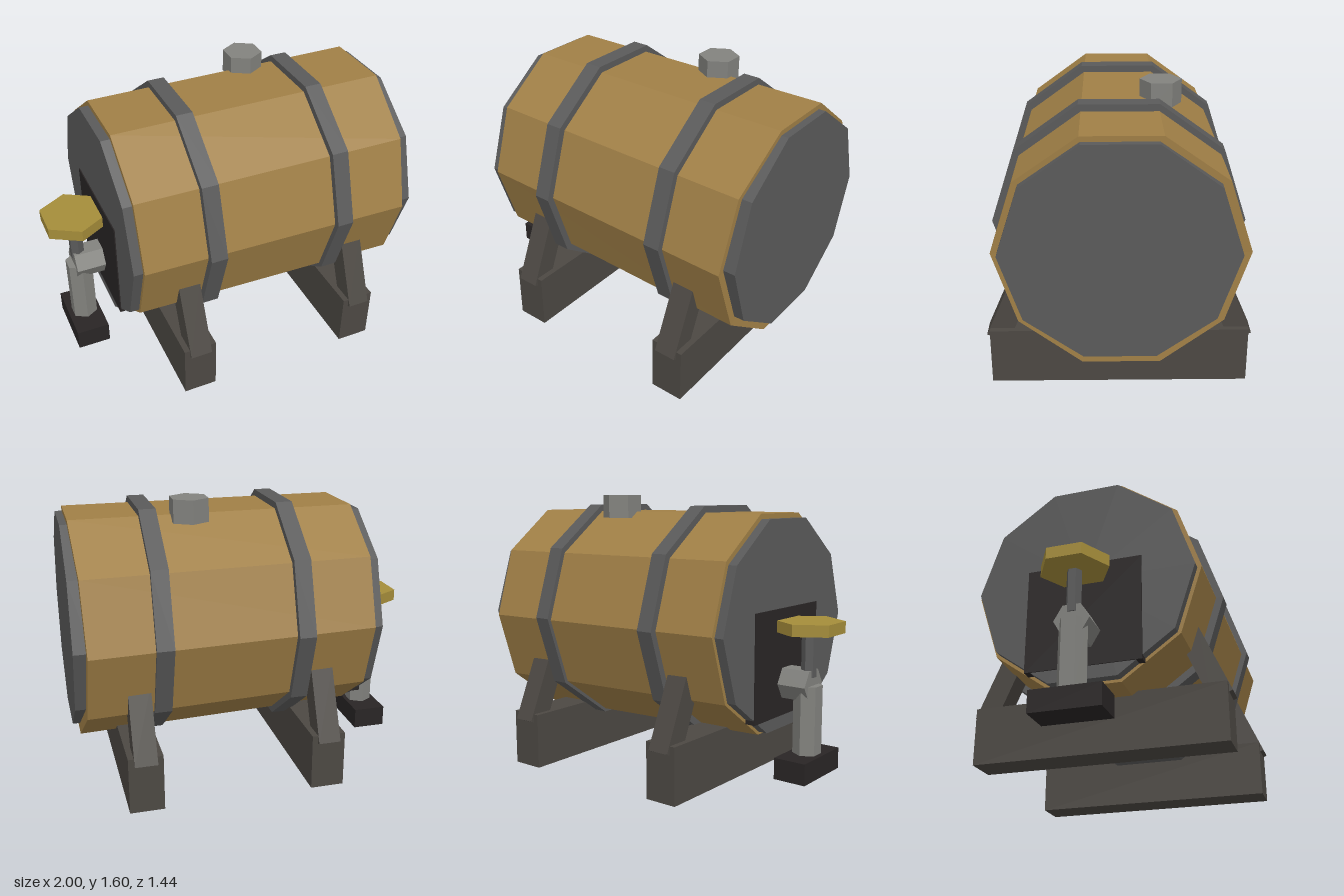
import * as THREE from 'three';

const mat = (color) => new THREE.MeshStandardMaterial({ color, flatShading: true });
const wood = mat(0xa07f46);
const iron = mat(0x5a5a5a);
const steel = mat(0x82827e);
const timber = mat(0x4c4843);
const brass = mat(0xa58d3a);
const black = mat(0x292525);
const AXIS_Y = 0.895;

export function createModel() {
  const model = new THREE.Group();

  const add = (name, geometry, material, x, y, z) => {
    const mesh = new THREE.Mesh(geometry, material);
    mesh.name = name;
    mesh.position.set(x, y, z);
    model.add(mesh);
    return mesh;
  };
  // Prism lying along x, from x0 to x1
  const lying = (name, r, sides, x0, x1, y, material) =>
    add(name, new THREE.CylinderGeometry(r, r, x1 - x0, sides).rotateZ(-Math.PI / 2),
      material, (x0 + x1) / 2, y, 0);
  // Prism standing upright, from y0 to y1
  const standing = (name, r, y0, y1, x, z, material) =>
    add(name, new THREE.CylinderGeometry(r, r, y1 - y0, 6), material, x, (y0 + y1) / 2, z);

  // Barrel body: ten staves, widening and sagging to one end, which is cut unevenly
  const body = new THREE.CylinderGeometry(0.652, 0.63, 1.585, 10).rotateZ(-Math.PI / 2);
  const p = body.attributes.position;
  for (let i = 0; i < p.count; i++) {
    const y = p.getY(i), z = p.getZ(i);
    if (p.getX(i) > 0) {
      p.setX(i, p.getX(i) + 0.016 * Math.cos(2 * Math.atan2(z, y)) * Math.min(1, Math.hypot(y, z) * 2));
      p.setY(i, y - 0.015);
      p.setZ(i, z - 0.007);
    } else {
      p.setY(i, y + 0.006);
    }
  }
  add('barrelBody', body, wood, 0.155, AXIS_Y, 0);

  // End caps and hoops
  lying('rightEndCap', 0.607, 10, -0.69, -0.58, AXIS_Y, iron);
  lying('leftEndCap', 0.607, 10, 0.9, 1.0, AXIS_Y, iron);
  for (const x of [-0.28, 0.488]) lying('hoop', 0.675, 10, x, x + 0.095, AXIS_Y, iron);

  // Bung on top
  standing('bung', 0.112, 1.465, 1.595, 0.31, -0.225, steel);

  // Cradle: cross beams with a leaning brace at each end
  for (const x of [-0.36, 0.665]) {
    add('cradleBeam', new THREE.BoxGeometry(0.19, 0.32, 1.4), timber, x, 0.16, 0);
    for (const s of [1, -1]) {
      const brace = add('cradleBrace', new THREE.BoxGeometry(0.125, 0.42, 0.124), timber, x, 0.448, 0.58 * s);
      brace.rotation.x = -0.408 * s;
    }
  }

  // Tap: back plate, pipe, spout, valve stem, hand wheel and foot
  add('tapPlate', new THREE.BoxGeometry(0.06, 0.6, 0.64), black, -0.666, 0.69, 0);
  lying('tapPipe', 0.097, 6, -0.865, -0.67, 0.575, steel);
  standing('tapSpout', 0.079, 0.18, 0.575, -0.833, 0, steel);
  standing('valveStem', 0.042, 0.62, 0.88, -0.835, 0, iron);
  standing('handWheel', 0.19, 0.865, 0.93, -0.835, 0, brass);
  add('tapFoot', new THREE.BoxGeometry(0.19, 0.12, 0.38), black, -0.835, 0.13, 0);

  return model;
}
